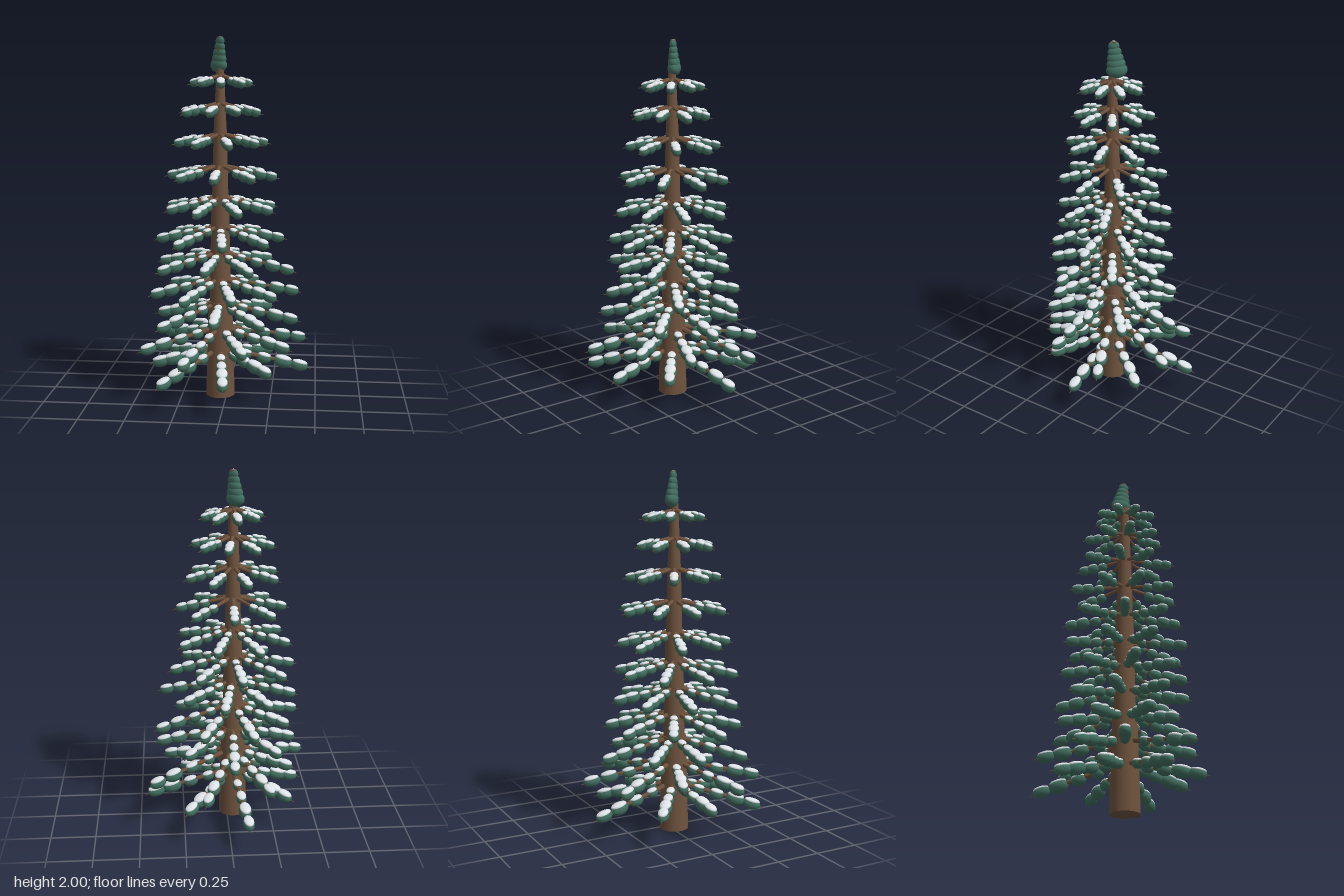
import * as THREE from 'three';
import { mergeGeometries } from 'three/addons/utils/BufferGeometryUtils.js';

const CENTRE = new THREE.Vector3(-0.036, 0, 0.023);
const UP = new THREE.Vector3(0, 1, 0);
const SIDE = new THREE.Vector3(0, 0, 1);

// Branch reach for each whorl, lowest first; a single number is a maximum reach
const WHORLS = [
  { y: 0.27, droop: 0.25, reach: [0.512, 0.39, 0.45, 0.505, 0.4, 0.415, 0.528, 0.465] },
  { y: 0.395, droop: 0.23, reach: [0.538, 0.433, 0.39, 0.507, 0.482, 0.37, 0.474, 0.525] },
  { y: 0.535, droop: 0.23, reach: [0.39, 0.45, 0.39, 0.33, 0.44, 0.37, 0.38, 0.447] },
  { y: 0.675, droop: 0.235, reach: [0.4, 0.467, 0.38, 0.36, 0.39, 0.407, 0.36, 0.393] },
  { y: 0.82, droop: 0.22, reach: [0.36, 0.35, 0.433, 0.36, 0.34, 0.4, 0.37, 0.36] },
  { y: 0.97, droop: 0.24, reach: 0.37 },
  { y: 1.13, droop: 0.24, reach: 0.35 },
  { y: 1.305, droop: 0.24, reach: 0.335 },
  { y: 1.478, droop: 0.25, reach: 0.288 },
  { y: 1.645, droop: 0.3, reach: 0.243 },
  { y: 1.793, droop: 0.36, reach: 0.194 },
];

// Clumps along a bough: position along it, length scale, width scale, drop below it
const CLUMPS = [[1, 1, 1, 0], [0.79, 1.08, 1.12, 0.004], [0.55, 0.85, 0.95, 0.01], [0.32, 0.7, 0.85, 0.01]];

function seeded(seed) {
  return () => (seed = (seed * 16807) % 2147483647) / 2147483647;
}

// Tapered rod between two points
function rod(a, b, ra, rb) {
  const dir = b.clone().sub(a);
  const q = new THREE.Quaternion().setFromUnitVectors(UP, dir.clone().normalize());
  return new THREE.CylinderGeometry(rb, ra, dir.length(), 7)
    .applyQuaternion(q).translate(...a.clone().lerp(b, 0.5).toArray());
}

export function createModel() {
  const bark = new THREE.MeshStandardMaterial({ name: 'bark', color: 0x6f533e });
  const needles = new THREE.MeshStandardMaterial({ name: 'needles', color: 0x426f60 });
  const snow = new THREE.MeshStandardMaterial({ name: 'snow', color: 0xdfe5e9 });

  const tree = new THREE.Group();
  tree.name = 'snowyFir';
  const add = (parent, name, geometry, material) => {
    const mesh = new THREE.Mesh(geometry, material);
    mesh.name = name;
    parent.add(mesh);
    return mesh;
  };

  // Trunk of stacked tapering sections, each starting a little narrower
  const sections = [
    [0, 0.54, 0.081, 0.067], [0.54, 1.09, 0.06, 0.049],
    [1.09, 1.5, 0.046, 0.036], [1.5, 1.95, 0.035, 0.016],
  ];
  const trunk = new THREE.Group();
  trunk.name = 'trunk';
  trunk.position.copy(CENTRE);
  tree.add(trunk);
  for (const [y0, y1, r0, r1] of sections) {
    const g = new THREE.CylinderGeometry(r1, r0, y1 - y0, 24).translate(0, (y0 + y1) / 2, 0);
    add(trunk, 'trunkSection', g, bark);
  }

  // One needle clump and the thin lens of snow on it, unit sized
  const clump = new THREE.SphereGeometry(1, 14, 9);
  const cap = new THREE.SphereGeometry(1, 14, 6).scale(0.88, 0.4, 0.88).translate(0, 0.63, 0);

  const random = seeded(41);
  WHORLS.forEach(({ y, droop, reach }, level) => {
    const whorl = new THREE.Group();
    whorl.name = 'whorl' + (level + 1);
    whorl.position.set(CENTRE.x, y, CENTRE.z);
    tree.add(whorl);
    const t = level / (WHORLS.length - 1);
    const halfLong = THREE.MathUtils.lerp(0.051, 0.027, t);
    const halfWide = THREE.MathUtils.lerp(0.032, 0.0235, t);
    const tilt = new THREE.Quaternion().setFromAxisAngle(SIDE, -Math.atan(droop));
    const clumps = CLUMPS.slice(0, level < 7 ? 4 : 3);
    const wood = [], green = [], white = [];

    for (let i = 0; i < 8; i++) {
      const angle = THREE.MathUtils.degToRad(353 - 18 * level + 45 * i);
      const length = Array.isArray(reach) ? reach[i] : reach * (0.91 + 0.09 * random());
      const turn = new THREE.Matrix4().makeRotationY(-angle);
      const at = (r, drop = 0) => new THREE.Vector3(r, -droop * r * (0.75 + 0.5 * r) - drop, 0);

      // Stout bough, and the bare twig poking out at its end
      const inner = length * 0.68;
      wood.push(rod(at(0.01), at(inner), 0.016 - 0.006 * t, 0.011 - 0.004 * t).applyMatrix4(turn));
      wood.push(rod(at(inner), at(length), 0.005, 0.002).applyMatrix4(turn));

      // Clumps strung along the bough, the inner ones hanging under it
      const tip = length - halfLong - 0.014;
      for (const [f, long, wide, drop] of clumps) {
        const size = new THREE.Vector3(halfLong * long, halfWide * wide, halfWide * wide);
        const place = turn.clone()
          .multiply(new THREE.Matrix4().compose(at(tip * f, drop), tilt, size));
        green.push(clump.clone().applyMatrix4(place));
        white.push(cap.clone().applyMatrix4(place));
      }
    }
    add(whorl, 'boughs', mergeGeometries(wood), bark);
    add(whorl, 'needleClumps', mergeGeometries(green), needles);
    add(whorl, 'snowCaps', mergeGeometries(white), snow);
  });

  // Crown of shrinking oval clumps, long across one diagonal
  const crown = new THREE.Group();
  crown.name = 'crown';
  tree.add(crown);
  for (let i = 0; i < 5; i++) {
    const s = 1 - i * 0.12;
    const m = add(crown, 'crownClump', clump, needles);
    m.scale.set(0.058 * s, 0.042 - i * 0.004, 0.036 * s);
    m.rotation.y = -Math.PI / 4;
    m.position.set(-0.046 + i * 0.0022, 1.846 + i * 0.032, 0.002 + i * 0.0035);
  }
  // Bare leader with a dot of snow at the very top
  add(crown, 'leader', new THREE.CylinderGeometry(0.015, 0.018, 0.1, 14), bark)
    .position.set(-0.037, 1.948, 0.016);
  add(crown, 'leaderSnow', new THREE.CylinderGeometry(0.007, 0.007, 0.004, 12), snow)
    .position.set(-0.037, 1.998, 0.016);

  return tree;
}
